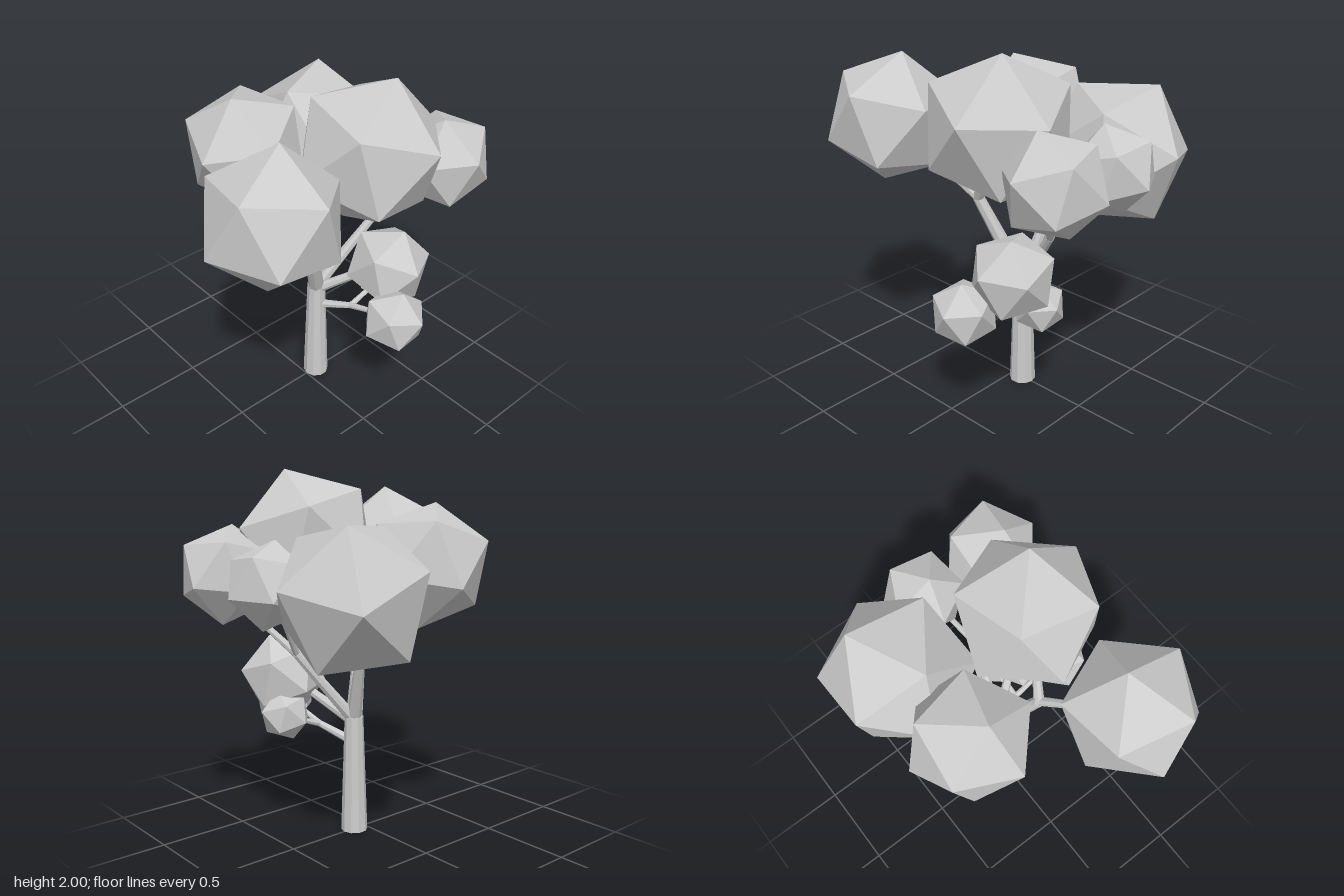
import * as THREE from 'three';

const material = new THREE.MeshStandardMaterial({ color: 0xcccccc, flatShading: true });
const PHI = (1 + Math.sqrt(5)) / 2;

// Orthonormal basis whose first axis is a and whose second leans towards b
function basis(a, b) {
  const u = a.clone().normalize();
  const v = b.clone().addScaledVector(u, -b.dot(u)).normalize();
  return new THREE.Matrix4().makeBasis(u, v, u.clone().cross(v));
}

// Two neighbouring corners of the built-in icosahedron
const restInverse = basis(new THREE.Vector3(-1, PHI, 0), new THREE.Vector3(1, PHI, 0)).invert();

// Leaf clump: icosahedron turned so one corner points along a and a neighbour towards b
function clump({ name, at, r, a, b }) {
  const mesh = new THREE.Mesh(new THREE.IcosahedronGeometry(r, 0), material);
  const turn = basis(new THREE.Vector3(...a), new THREE.Vector3(...b)).multiply(restInverse);
  mesh.quaternion.setFromRotationMatrix(turn);
  mesh.position.set(...at);
  mesh.name = name;
  return mesh;
}

// Tapered limb between two points
function limb(name, from, to, r0, r1, sides = 8) {
  const p = new THREE.Vector3(...from);
  const d = new THREE.Vector3(...to).sub(p);
  const mesh = new THREE.Mesh(new THREE.CylinderGeometry(r1, r0, d.length(), sides), material);
  mesh.position.copy(p).addScaledVector(d, 0.5);
  mesh.quaternion.setFromUnitVectors(new THREE.Vector3(0, 1, 0), d.normalize());
  mesh.name = name;
  return mesh;
}

const clumps = [
  { name: 'frontRightLeaves', at: [0.372, 1.543, 0.525], r: 0.365, a: [-0.028, 0.357, -0.067], b: [0.316, 0.187, -0.055] },
  { name: 'topLeaves', at: [0.278, 1.61, -0.168], r: 0.404, a: [0.076, 0.385, -0.094], b: [0.08, 0.1, -0.39] },
  { name: 'backLeftLeaves', at: [-0.375, 1.38, -0.398], r: 0.415, a: [-0.15, 0.36, -0.152], b: [0.039, 0.064, -0.397] },
  { name: 'frontLeftLeaves', at: [-0.325, 1.503, 0.15], r: 0.34, a: [0.045, 0.317, 0.106], b: [0.081, 0.037, 0.33] },
  { name: 'backRightLeaves', at: [0.39, 1.45, -0.615], r: 0.27, a: [0.044, 0.26, 0.065], b: [0.258, 0.074, 0.03] },
  { name: 'backLeaves', at: [-0.03, 1.43, -0.64], r: 0.228, a: [0.02, 0.22, 0.055], b: [-0.02, 0.05, 0.22] },
  { name: 'lowLeaves', at: [0.335, 0.87, -0.305], r: 0.238, a: [0.06, 0.225, -0.05], b: [0.235, 0.03, 0.02] },
  { name: 'lowSideLeaves', at: [0.535, 0.688, -0.16], r: 0.182, a: [0.036, 0.174, -0.02], b: [0.174, 0.026, -0.03] },
  { name: 'lowBackLeaves', at: [0.215, 0.68, -0.385], r: 0.143, a: [0.03, 0.135, -0.03], b: [0.02, 0.02, -0.14] },
];

// Forks where a bough splits into two twigs
const crown = [0, 0.64, -0.075];
const rightFork = [0.155, 1.13, 0.11];
const leftFork = [-0.13, 1.02, -0.14];
const backFork = [0.12, 1.03, -0.37];
const lowFork = [0.21, 0.585, -0.15];

export function createModel() {
  const tree = new THREE.Group();
  tree.name = 'tree';

  tree.add(limb('trunk', [0, 0, -0.075], [0, 0.66, -0.075], 0.074, 0.052, 10));

  const branches = new THREE.Group();
  branches.name = 'branches';
  branches.add(
    limb('rightBough', crown, rightFork, 0.046, 0.032),
    limb('frontRightTwig', rightFork, [0.3, 1.4, 0.4], 0.026, 0.018),
    limb('topTwig', rightFork, [0.23, 1.38, -0.03], 0.03, 0.02),
    limb('leftBough', crown, leftFork, 0.04, 0.028),
    limb('frontLeftTwig', leftFork, [-0.25, 1.3, 0.03], 0.026, 0.018),
    limb('backLeftTwig', leftFork, [-0.23, 1.13, -0.24], 0.026, 0.02),
    limb('backBough', crown, backFork, 0.036, 0.024),
    limb('backRightTwig', backFork, [0.34, 1.27, -0.54], 0.022, 0.015),
    limb('backTwig', backFork, [0.03, 1.3, -0.54], 0.02, 0.014),
    limb('lowBough', [0.02, 0.64, -0.085], [0.3, 0.86, -0.28], 0.03, 0.02),
    limb('lowSideBough', [0.02, 0.52, -0.085], lowFork, 0.025, 0.018),
    limb('lowSideTwig', lowFork, [0.46, 0.67, -0.16], 0.018, 0.013),
    limb('lowBackTwig', lowFork, [0.215, 0.66, -0.36], 0.017, 0.012),
  );
  tree.add(branches);

  const leaves = new THREE.Group();
  leaves.name = 'leaves';
  clumps.forEach((c) => leaves.add(clump(c)));
  tree.add(leaves);

  return tree;
}
